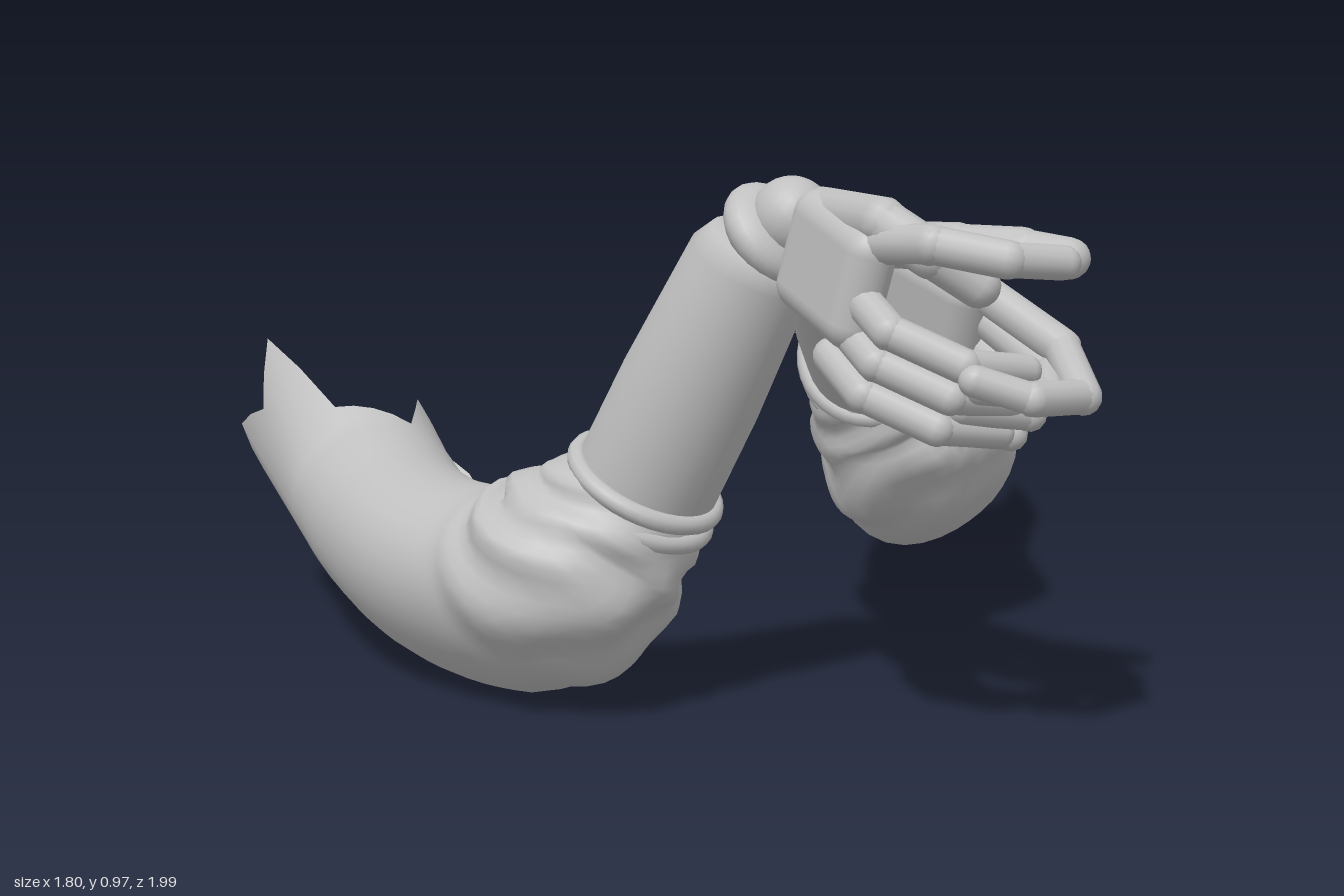
import * as THREE from 'three';
import { RoundedBoxGeometry } from 'three/addons/geometries/RoundedBoxGeometry.js';

const V = (p) => new THREE.Vector3(...p);
const UP = new THREE.Vector3(0, 1, 0);

export function createModel() {
  const model = new THREE.Group();
  const grey = new THREE.MeshStandardMaterial({ color: 0xc0c0c0, side: THREE.DoubleSide });
  grey.name = 'plain grey';

  const add = (parent, name, geometry) => {
    const mesh = new THREE.Mesh(geometry, grey);
    mesh.name = name;
    parent.add(mesh);
    return mesh;
  };

  // Turns a mesh so its own +y follows the direction, at the given place
  const along = (mesh, at, dir) => {
    mesh.position.copy(at);
    mesh.quaternion.setFromUnitVectors(UP, dir.clone().normalize());
    return mesh;
  };

  // Wrinkled hollow sleeve swept along a spine of [x, y, z, radius]; flatAngle is its flattened outer underside,
  // teeth holds the length of each torn strip round the far end, strips run along tearDir
  function sleeve(parent, spine, seed, flatAngle, teeth, tearDir) {
    const curve = new THREE.CatmullRomCurve3(spine.map((p) => V(p.slice(0, 3))));
    const tear = V(tearDir).normalize();
    const rows = 36, tornRows = 3, sides = teeth.length * 2, pos = [], index = [];
    for (let i = 0; i <= rows + tornRows; i++) {
      const t = Math.min(i / rows, 1);
      const out = Math.max(0, i - rows) / tornRows;
      const c = curve.getPoint(t), T = curve.getTangent(t);
      const side = T.clone().cross(UP).normalize();
      const lift = side.clone().cross(T);
      const f = t * (spine.length - 1), k = Math.min(Math.floor(f), spine.length - 2);
      const r = THREE.MathUtils.lerp(spine[k][3], spine[k + 1][3], f - k);
      const fold = 0.06 * Math.exp(-Math.pow((t - 0.24) / 0.18, 2));
      const flat = 0.17 * THREE.MathUtils.smoothstep(t, 0.05, 0.5);
      for (let j = 0; j < sides; j++) {
        const a = (j / sides) * Math.PI * 2;
        // Diagonal creases gather round the elbow
        const wrinkle = fold * (Math.sin(t * 45 + 3 * Math.sin(a * 2 + seed)) + 0.7 * Math.sin(a * 5 + t * 25 + seed))
          + 0.015 * Math.sin(a * 3 + t * 9 + seed);
        const rr = r * (1 + wrinkle - flat * Math.pow(Math.max(0, Math.cos(a - flatAngle)), 2));
        const j0 = Math.floor(j / 2), j1 = Math.ceil(j / 2) % teeth.length;
        const length = (teeth[j0] + teeth[j1]) / 2;
        // Upper strips curl upward
        const p = c.clone().addScaledVector(side, Math.cos(a) * rr).addScaledVector(lift, Math.sin(a) * rr)
          .addScaledVector(tear, length * out).addScaledVector(UP, length * out * 0.35 * Math.max(0, Math.sin(a)));
        pos.push(p.x, p.y, p.z);
        if (i < rows + tornRows) {
          const q = i * sides + j, s = i * sides + ((j + 1) % sides);
          index.push(q, q + sides, s, s, q + sides, s + sides);
        }
      }
    }
    const g = new THREE.BufferGeometry();
    g.setAttribute('position', new THREE.Float32BufferAttribute(pos, 3));
    g.setIndex(index);
    g.computeVertexNormals();
    add(parent, 'tornSleeve', g);
  }

  // Loose scrap of cloth beside a torn end
  function scrap(parent, corners) {
    const g = new THREE.BufferGeometry();
    g.setAttribute('position', new THREE.Float32BufferAttribute(corners.flat(), 3));
    g.setIndex([0, 1, 2, 0, 2, 3]);
    g.computeVertexNormals();
    add(parent, 'clothScrap', g);
  }

  // Tapered forearm with double cuff ring and wrist joint
  function forearm(parent, from, to, wrist) {
    const a = V(from), b = V(to), w = V(wrist), d = b.clone().sub(a), len = d.length();
    const profile = [[0.12, -0.06], [0.128, 0], [0.126, len * 0.4], [0.112, len * 0.92], [0.092, len], [0, len + 0.01]];
    along(add(parent, 'forearm', new THREE.LatheGeometry(profile.map((p) => new THREE.Vector2(...p)), 32)), a, d);
    const dir = d.clone().normalize();
    [0, -0.042].forEach((s) => {
      const ring = add(parent, 'cuffRing', new THREE.TorusGeometry(0.13, 0.018, 10, 36).rotateX(Math.PI / 2));
      along(ring, a.clone().addScaledVector(dir, s), d);
    });
    const cap = add(parent, 'wristCap', new THREE.SphereGeometry(0.1, 24, 16));
    along(cap, b.clone().lerp(w, 0.4), w.clone().sub(b)).scale.set(1, 0.5, 1);
    along(add(parent, 'wristBall', new THREE.SphereGeometry(0.07, 20, 14)), w, d);
  }

  // Jointed finger made of rounded segments
  function finger(parent, name, r, points) {
    const group = new THREE.Group();
    group.name = name;
    parent.add(group);
    for (let i = 0; i < points.length - 1; i++) {
      const a = V(points[i]), b = V(points[i + 1]), d = b.clone().sub(a);
      const seg = add(group, 'fingerSegment', new THREE.CapsuleGeometry(r * (1 - i * 0.07), d.length(), 5, 12));
      along(seg, a.add(b).multiplyScalar(0.5), d);
    }
  }

  function palm(parent, at, dir, size, roll) {
    const mesh = add(parent, 'palm', new RoundedBoxGeometry(...size, 4, 0.045));
    mesh.position.copy(V(at));
    mesh.lookAt(V(at).add(V(dir)));
    mesh.rotateZ(roll);
  }

  const rightArm = new THREE.Group(), leftArm = new THREE.Group();
  rightArm.name = 'rightArm';
  leftArm.name = 'leftArm';
  model.add(rightArm, leftArm);

  // Right arm
  sleeve(rightArm, [[-0.56, 0.43, 0.18, 0.13], [-0.595, 0.36, 0.145, 0.165], [-0.655, 0.265, 0.085, 0.205],
    [-0.69, 0.21, -0.05, 0.2], [-0.735, 0.21, -0.25, 0.185], [-0.735, 0.24, -0.46, 0.175], [-0.715, 0.28, -0.62, 0.175]],
  1, Math.PI * 1.25, [0.2, 0.08, 0.12, 0, 0.03, 0.06, 0.33, 0.24, 0.38, 0.28, 0.36, 0.25, 0.33, 0.2, 0.28, 0.1],
  [0.1, 0.3, -0.95]);
  scrap(rightArm, [[-0.47, 0.34, -0.91], [-0.43, 0.28, -0.78], [-0.42, 0.18, -0.64], [-0.46, 0.23, -0.75]]);
  forearm(rightArm, [-0.555, 0.44, 0.19], [-0.447, 0.87, 0.405], [-0.425, 0.92, 0.465]);
  palm(rightArm, [-0.44, 0.85, 0.62], [-0.05, -0.1, 0.4], [0.09, 0.21, 0.27], -0.15);
  finger(rightArm, 'rightThumb', 0.042, [[-0.41, 0.935, 0.54], [-0.43, 0.935, 0.74], [-0.4, 0.89, 0.83], [-0.33, 0.84, 0.86]]);
  finger(rightArm, 'rightIndex', 0.033, [[-0.44, 0.9, 0.72], [-0.42, 0.91, 0.86], [-0.34, 0.89, 0.95], [-0.24, 0.88, 0.96]]);
  [0, 1, 2].forEach((i) => {
    const y = 0.82 - i * 0.055, z = -i * 0.035;
    finger(rightArm, 'rightFinger', 0.031, [[-0.455, y, 0.7 + z], [-0.46, y - 0.05, 0.8 + z],
      [-0.38, y - 0.1, 0.89 + z], [-0.25, y - 0.12, 0.88 + z]]);
  });

  // Left arm
  sleeve(leftArm, [[0.035, 0.6, 0.04, 0.13], [0.09, 0.52, 0.01, 0.16], [0.165, 0.42, -0.02, 0.195],
    [0.255, 0.355, -0.1, 0.195], [0.41, 0.335, -0.33, 0.18], [0.55, 0.36, -0.5, 0.18], [0.66, 0.39, -0.63, 0.18]],
  3.4, Math.PI * 1.75, [0.27, 0.14, 0.26, 0.06, 0, 0.08, 0.02, 0.1, 0.06, 0.2, 0.08, 0.28, 0.2, 0.22, 0.04, 0.08],
  [0.4, 0.2, -0.87]);
  scrap(leftArm, [[0.54, 0.4, -0.78], [0.56, 0.3, -0.82], [0.55, 0.45, -0.97], [0.47, 0.5, -0.96]]);
  forearm(leftArm, [0.025, 0.6, 0.05], [-0.255, 0.825, 0.37], [-0.265, 0.855, 0.44]);
  palm(leftArm, [-0.205, 0.755, 0.545], [0.1, -0.12, 0.3], [0.09, 0.22, 0.23], 0.2);
  finger(leftArm, 'leftThumb', 0.04, [[-0.27, 0.87, 0.52], [-0.24, 0.88, 0.68], [-0.18, 0.88, 0.78], [-0.14, 0.87, 0.85]]);
  finger(leftArm, 'leftIndex', 0.033, [[-0.17, 0.8, 0.65], [-0.13, 0.72, 0.82], [-0.18, 0.66, 0.94],
    [-0.3, 0.67, 0.965], [-0.38, 0.7, 0.92]]);
  [0, 1, 2].forEach((i) => {
    const y = 0.74 - i * 0.04, z = -i * 0.05;
    finger(leftArm, 'leftFinger', 0.031, [[-0.15, y, 0.66 + z], [-0.14, y - 0.06, 0.8 + z],
      [-0.21, y - 0.08, 0.89 + z], [-0.34, y - 0.06, 0.88 + z]]);
  });

  return model;
}
